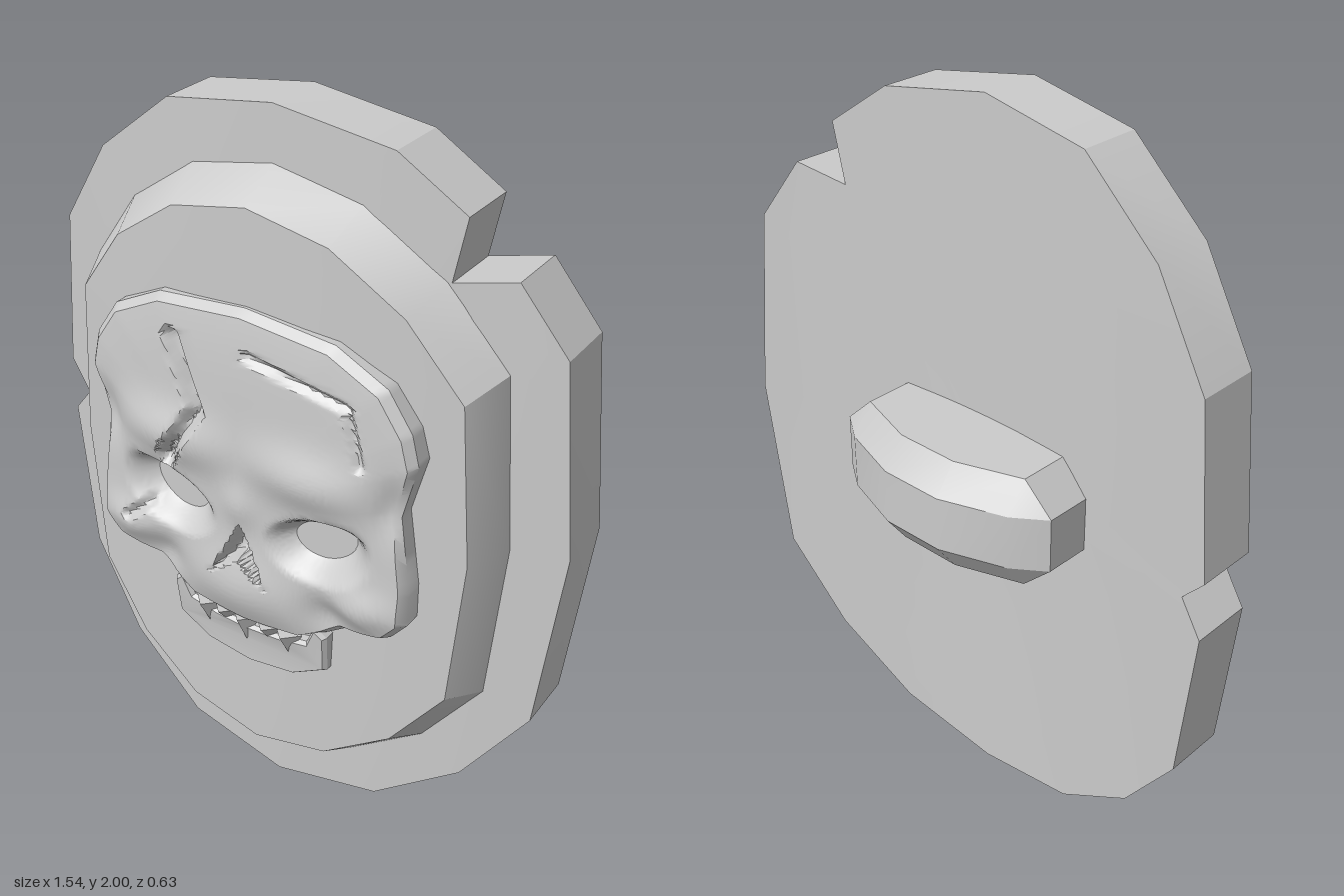
import * as THREE from 'three';
import { mergeVertices, toCreasedNormals } from 'three/addons/utils/BufferGeometryUtils.js';

const material = new THREE.MeshStandardMaterial({ color: 0xcccccc, side: THREE.DoubleSide });
const bend = (x) => -0.18 * x * x; // the shield curves back towards its sides
const smooth = THREE.MathUtils.smoothstep;

// Outline from its right half, listed from bottom centre to top centre
const mirrored = (half) => [...half, ...half.slice(1, -1).reverse().map(([x, y]) => [-x, y])];

// Splits each side of an outline into n pieces
const divide = (pts, n) => pts.flatMap(([x, y], i) => {
  const [u, v] = pts[(i + 1) % pts.length];
  return Array.from({ length: n }, (_, k) => [x + (u - x) * k / n, y + (v - y) * k / n]);
});

// Joins closed loops of equal length into a skin
function skin(loops, crease) {
  const n = loops[0].length, index = [];
  for (let i = 0; i < loops.length - 1; i++) {
    for (let j = 0; j < n; j++) {
      const k = (j + 1) % n, a = i * n + j, b = i * n + k, c = b + n, d = a + n;
      index.push(a, b, c, a, c, d);
    }
  }
  let g = new THREE.BufferGeometry();
  g.setAttribute('position', new THREE.Float32BufferAttribute(loops.flat(2), 3));
  g.setIndex(index);
  g = mergeVertices(g, 1e-5);
  // drop the triangles that collapse at the loop centres
  const ix = g.index.array, keep = [];
  for (let i = 0; i < ix.length; i += 3) {
    const [a, b, c] = [ix[i], ix[i + 1], ix[i + 2]];
    if (a !== b && b !== c && a !== c) keep.push(a, b, c);
  }
  g.setIndex(keep);
  return toCreasedNormals(g, crease);
}

// A loop: the outline scaled about (0, cy), with z from a function
const ring = (outline, cy, s, z) => outline.map(([px, py]) => {
  const x = px * s, y = cy + (py - cy) * s;
  return [x, y, z(x, y)];
});

function add(group, name, geometry) {
  const mesh = new THREE.Mesh(geometry, material);
  mesh.name = name;
  group.add(mesh);
  return mesh;
}

// Distance from a point to a polyline
function lineDistance(x, y, pts) {
  let best = 1;
  for (let i = 0; i < pts.length - 1; i++) {
    const [ax, ay] = pts[i], dx = pts[i + 1][0] - ax, dy = pts[i + 1][1] - ay;
    const t = THREE.MathUtils.clamp(((x - ax) * dx + (y - ay) * dy) / (dx * dx + dy * dy), 0, 1);
    best = Math.min(best, Math.hypot(x - ax - dx * t, y - ay - dy * t));
  }
  return best;
}

const cracks = [
  { pts: [[-0.2, 1.43], [-0.125, 1.25], [-0.22, 1.09]], width: 0.028, depth: 0.04 },
  { pts: [[0.02, 1.44], [0.3, 1.39], [0.34, 1.25]], width: 0.018, depth: 0.018 },
  { pts: [[-0.36, 0.86], [-0.3, 0.91]], width: 0.02, depth: 0.02 },
];
const mound = (x, y, cx, cy, rx, ry) => Math.exp(-(((x - cx) / rx) ** 2) - ((y - cy) / ry) ** 2);

// Height of the skull's face
function faceHeight(x, y, s) {
  const m = Math.abs(x);
  let z = 0.262 + 0.02 * (1 - s ** 4);
  const inner = 1 - smooth(s, 0.86, 1);
  z += 0.032 * mound(m, y, 0.2, 1.16, 0.16, 0.075) * inner; // brow
  z += 0.025 * mound(m, y, 0.36, 0.84, 0.09, 0.06); // cheekbone
  z += 0.032 * mound(x, y, 0, 0.76, 0.17, 0.11); // upper jaw
  z += 0.014 * mound(x, y, 0, 1.02, 0.05, 0.06); // nose bridge
  z -= 0.02 * mound(m, y, 0.42, 1.15, 0.06, 0.08); // temple
  z -= 0.02 * mound(m, y, 0.25, 0.77, 0.06, 0.06); // hollow under the cheek
  // slanted eye sockets
  const dx = m - 0.225, dy = y - 0.98, u = dx * 0.96 + dy * 0.28, v = dy * 0.96 - dx * 0.28;
  z -= 0.075 * (1 - smooth(Math.hypot(u / 0.165, v / (v > 0 ? 0.085 : 0.12)), 0.35, 1));
  // nose opening with a raised middle at its foot
  const d = Math.min((0.97 - y) * 0.5 - m, y - 0.79 - (0.09 - m) * 0.75);
  z -= 0.06 * smooth(d, 0, 0.018);
  for (const c of cracks) z -= c.depth * Math.max(0, 1 - lineDistance(x, y, c.pts) / c.width);
  return z;
}

export function createModel() {
  const group = new THREE.Group();

  // Curved plate with two chips in its edge
  const plate = [[0, 0], [0.31, 0.06], [0.55, 0.235], [0.72, 0.48], [0.77, 1], [0.72, 1.53],
    [0.6, 1.7], [0.45, 1.67], [0.48, 1.83], [0.31, 1.95], [0, 2], [-0.31, 1.95], [-0.55, 1.77],
    [-0.72, 1.53], [-0.77, 1.08], [-0.7, 1], [-0.77, 0.92], [-0.72, 0.48], [-0.55, 0.235], [-0.31, 0.06]];
  const back = (x) => -0.05 + bend(x), front = (x) => 0.12 + bend(x);
  const steps = [0, 0.2, 0.4, 0.6, 0.8, 1];
  add(group, 'shieldPlate', skin([
    ...steps.map((s) => ring(plate, 1, s, back)),
    ...steps.slice().reverse().map((s) => ring(plate, 1, s, front)),
  ], 0.45));

  // Raised centre panel with a sloping edge
  const panel = mirrored([[0, 0.145], [0.235, 0.195], [0.44, 0.335], [0.595, 0.54], [0.63, 1],
    [0.595, 1.47], [0.44, 1.67], [0.235, 1.81], [0, 1.86]]);
  const panelZ = (x) => 0.23 + bend(x);
  add(group, 'raisedPanel', skin([
    ring(panel, 1, 1, (x) => 0.1 + bend(x)),
    ring(panel, 1, 1, (x) => 0.12 + bend(x)),
    ...[0.92, 0.74, 0.55, 0.37, 0.18, 0].map((s) => ring(panel, 1, s, panelZ)),
  ], 0.45));

  // Skull relief: side wall, bevel, then the sculpted face
  const skull = divide(mirrored([[0, 0.65], [0.17, 0.66], [0.24, 0.7], [0.29, 0.735], [0.42, 0.765],
    [0.465, 0.82], [0.465, 0.92], [0.437, 1.13], [0.475, 1.28], [0.455, 1.36], [0.39, 1.455],
    [0.25, 1.525], [0, 1.548]]), 8);
  const rows = 56;
  add(group, 'skull', skin([
    ring(skull, 1.05, 1, () => 0.14),
    ring(skull, 1.05, 1, () => 0.238),
    ...Array.from({ length: rows + 1 }, (_, i) => {
      const s = 1 - i / rows;
      return ring(skull, 1.05, s * 0.965, (x, y) => faceHeight(x, y, s));
    }),
  ], 0.6));

  // Pointed upper teeth
  [[-0.13, 0.08], [-0.01, 0.09], [0.065, 0.055], [0.125, 0.075], [-0.07, 0.05]].forEach(([x, h], i) => {
    const tooth = add(group, `tooth${i + 1}`, new THREE.ConeGeometry(0.042, h, 4).toNonIndexed());
    tooth.geometry.computeVertexNormals();
    tooth.rotation.x = Math.PI;
    tooth.position.set(x, 0.66 - h / 2, 0.25);
  });

  // Lower jaw: a recessed plate inside a thicker crescent
  const jaw = mirrored([[0, 0.505], [0.135, 0.522], [0.228, 0.575], [0.232, 0.68], [0.21, 0.7],
    [0.185, 0.64], [0.1, 0.625], [0, 0.62]]).map(([x, y]) => new THREE.Vector2(x, y));
  const jawGeometry = new THREE.ExtrudeGeometry(new THREE.Shape(jaw), {
    depth: 0.1, bevelThickness: 0.012, bevelSize: 0.008, bevelSegments: 1,
  });
  const p = jawGeometry.attributes.position;
  for (let i = 0; i < p.count; i++) {
    p.setZ(i, p.getZ(i) + 0.14 + bend(p.getX(i)) + 0.1 * Math.max(0, p.getY(i) - 0.51));
  }
  add(group, 'lowerJaw', toCreasedNormals(jawGeometry, 0.5));

  // Bowed grip on the back, chamfered above and below
  const wide = [[0.355, -0.06], [0.355, -0.2], [0.27, -0.26], [0.09, -0.32]];
  const narrow = [[0.27, -0.04], [0.27, -0.2], [0.27, -0.2], [0.09, -0.26]];
  const gripLoop = (half, y) => [...half, ...half.slice().reverse().map(([x, z]) => [-x, z])]
    .map(([x, z]) => [x, y, z]);
  const centre = (y) => Array(8).fill([0, y, -0.13]);
  add(group, 'grip', skin([
    centre(0.85), gripLoop(narrow, 0.85), gripLoop(wide, 0.93),
    gripLoop(wide, 1.08), gripLoop(narrow, 1.16), centre(1.16),
  ], 0.5));

  return group;
}
